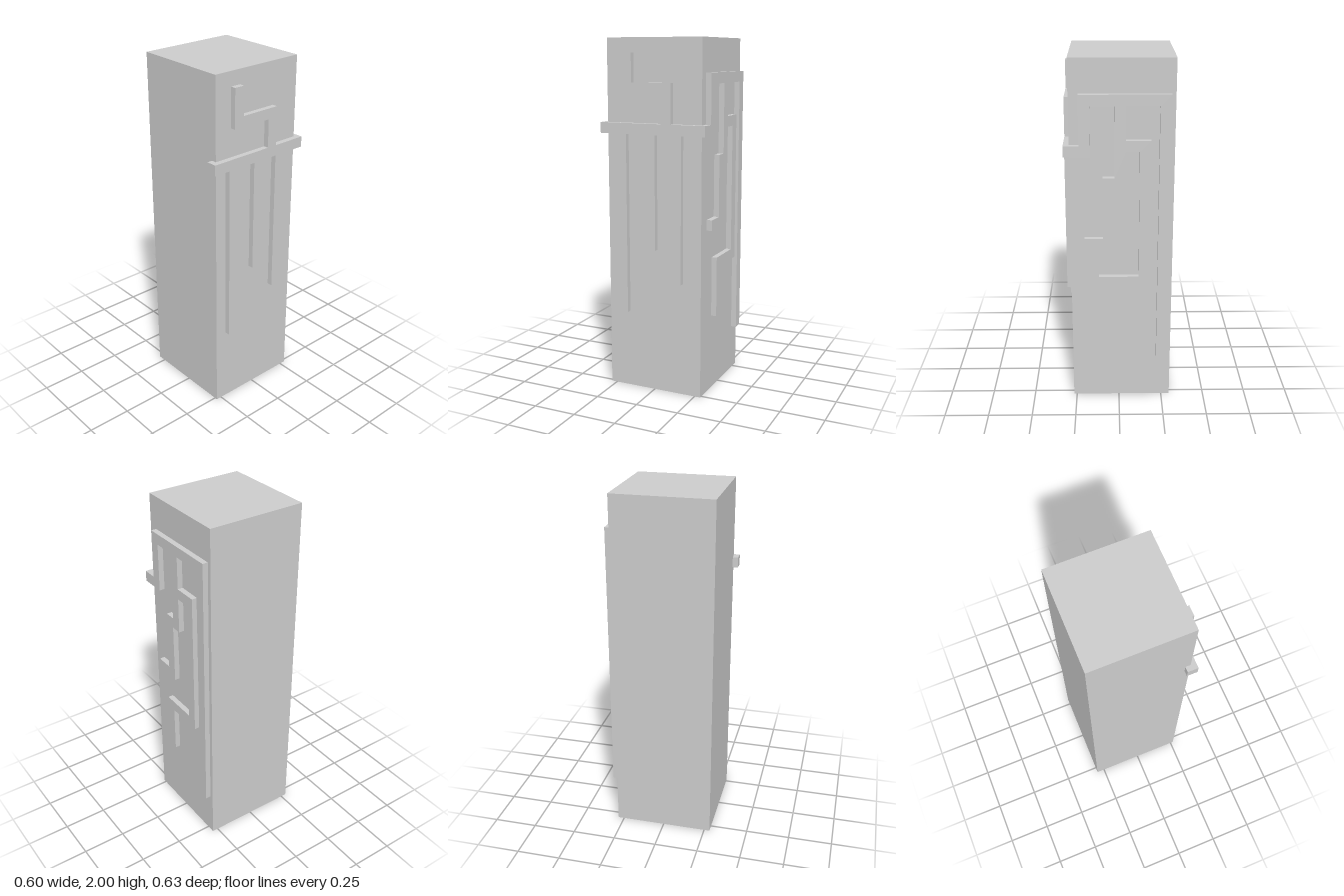
import * as THREE from 'three';

export function createModel() {
  const model = new THREE.Group();
  const material = new THREE.MeshStandardMaterial({ color: 0xcccccc, flatShading: true });
  const relief = 0.031;

  function add(name, geometry) {
    const mesh = new THREE.Mesh(geometry, material);
    mesh.name = name;
    model.add(mesh);
    return mesh;
  }

  // Box given by its minimum and maximum corners
  function box(name, min, max) {
    const size = max.map((v, i) => v - min[i]);
    const mesh = add(name, new THREE.BoxGeometry(...size));
    mesh.position.set(...min.map((v, i) => v + size[i] / 2));
  }

  // Raised outline, drawn as seen when facing the wall, then turned onto it
  function raised(name, points, turn, x, z) {
    const shape = new THREE.Shape(points.map(([a, y]) => new THREE.Vector2(a, y)));
    const geometry = new THREE.ExtrudeGeometry(shape, { depth: relief, bevelEnabled: false });
    geometry.rotateY(turn).translate(x, 0, z);
    add(name, geometry);
  }

  // Square pillar
  box('pillar', [-0.298, 0, -0.285], [0.267, 2, 0.283]);

  // Side wall: band with a stepped riser above and three hanging strips
  raised('sideRelief', [
    [-0.314, 1.48], [-0.314, 1.54], [0.058, 1.54], [0.058, 1.70], [-0.18, 1.70], [-0.18, 1.92],
    [-0.12, 1.92], [-0.12, 1.76], [0.117, 1.76], [0.117, 1.54], [0.316, 1.54], [0.316, 1.48],
    [0.177, 1.48], [0.177, 0.655], [0.117, 0.655], [0.117, 1.48], [0.02, 1.48], [0.02, 0.835],
    [-0.04, 0.835], [-0.04, 1.48], [-0.155, 1.48], [-0.155, 0.455], [-0.215, 0.455], [-0.215, 1.48],
  ], Math.PI / 2, 0.267, 0);

  // Back wall: band end, top bar, long outer strip and the two stepped branches
  raised('backRelief', [
    [-0.267, 1.48], [-0.267, 1.54], [-0.214, 1.54], [-0.214, 1.815], [0.275, 1.815], [0.275, 0.27],
    [0.215, 0.27], [0.215, 1.755], [0.035, 1.755], [0.035, 1.57], [0.17, 1.57], [0.17, 0.725],
    [-0.052, 0.725], [-0.052, 0.44], [-0.112, 0.44], [-0.112, 0.785], [0.11, 0.785], [0.11, 1.51],
    [0.035, 1.51], [0.035, 1.305], [-0.028, 1.305], [-0.028, 0.955], [-0.19, 0.955], [-0.19, 1.015],
    [-0.088, 1.015], [-0.088, 1.365], [-0.025, 1.365], [-0.025, 1.755], [-0.154, 1.755], [-0.154, 1.48],
  ], Math.PI, 0, -0.285);

  // Short end of the band wrapping onto the front
  box('frontBandEnd', [0.237, 1.48, 0.283], [0.267, 1.54, 0.314]);

  return model;
}
